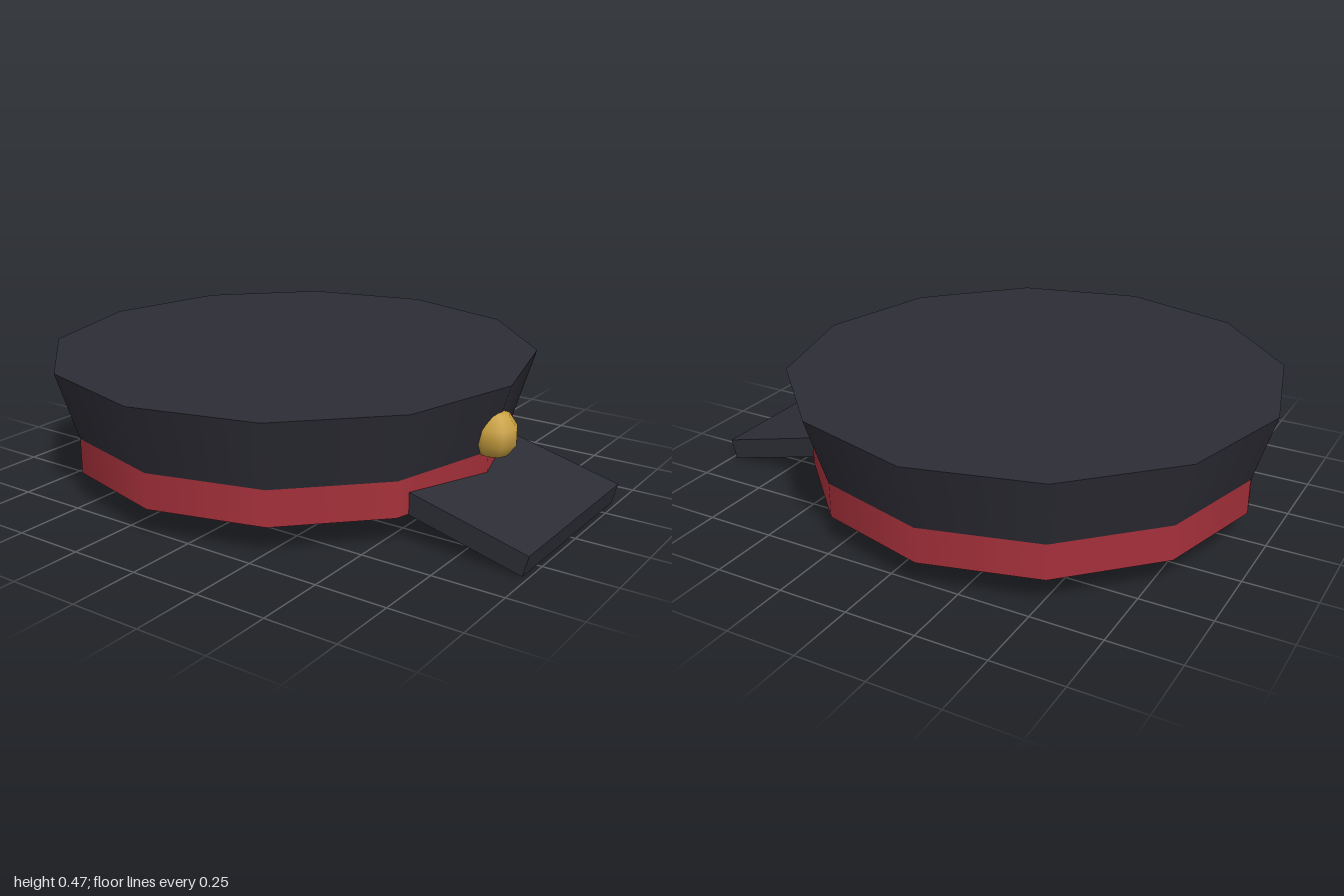
import * as THREE from 'three';

export function createModel() {
  const cap = new THREE.Group();
  cap.name = 'peakedCap';
  const material = (name, color) => {
    const m = new THREE.MeshStandardMaterial({ color });
    m.name = name;
    return m;
  };
  const cloth = material('dark cloth', 0x2d2d36);
  const red = material('red band', 0xa5303a);
  const gold = material('gold', 0xc9a040);

  const add = (name, geometry, mat, x, y, z) => {
    const mesh = new THREE.Mesh(geometry, mat);
    mesh.name = name;
    mesh.position.set(x, y, z);
    cap.add(mesh);
    return mesh;
  };

  const sides = 12, headZ = -0.127;
  const bottom = 0.105, seam = 0.23, top = 0.472;

  // Twelve-sided band and flared crown
  add('band', new THREE.CylinderGeometry(0.8, 0.8, seam - bottom, sides), red,
    0, (bottom + seam) / 2, headZ);
  add('crown', new THREE.CylinderGeometry(0.873, 0.8, top - seam, sides), cloth,
    0, (seam + top) / 2, headZ);

  // Flat visor sloping down to the front, its rear edge buried in the band
  const visor = add('visor', new THREE.BoxGeometry(0.7, 0.075, 0.5), cloth, 0, 0.098, 0.748);
  visor.rotation.x = 0.25;

  // Round badge half sunk into the front of the crown
  const badge = add('badge', new THREE.SphereGeometry(0.087, 8, 5), gold, 0, 0.299, 0.691);
  badge.scale.x = 0.9;

  return cap;
}
